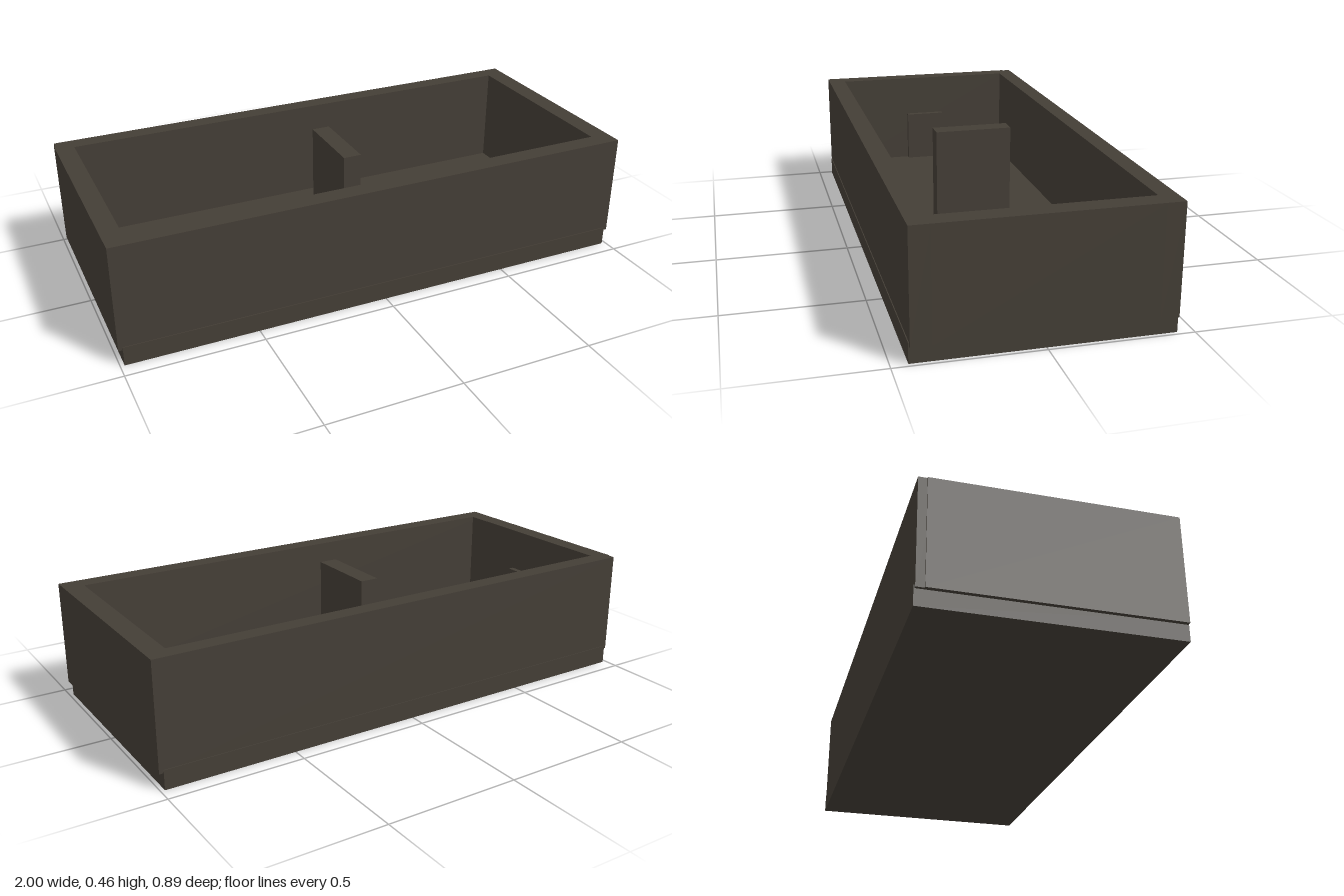
import * as THREE from 'three';

export function createModel() {
  const group = new THREE.Group();
  group.name = 'openTray';
  const darkBrown = new THREE.MeshStandardMaterial({ color: 0x443e36 });
  darkBrown.name = 'dark brown';

  // box given by its extents on each axis
  function block(name, [x0, x1], [y0, y1], [z0, z1]) {
    const geo = new THREE.BoxGeometry(x1 - x0, y1 - y0, z1 - z0);
    geo.translate((x0 + x1) / 2, (y0 + y1) / 2, (z0 + z1) / 2);
    const mesh = new THREE.Mesh(geo, darkBrown);
    mesh.name = name;
    group.add(mesh);
  }

  const wallY = [0.06, 0.455];
  const floorTop = 0.072;

  // base slab, slightly short at both ends
  block('basePlate', [-0.985, 0.985], [0, floorTop], [-0.443, 0.443]);

  // four walls around the open interior
  block('frontWall', [-0.995, 1], wallY, [0.37, 0.44]);
  block('backWall', [-0.995, 1], wallY, [-0.44, -0.375]);
  block('leftEndWall', [0.925, 1], wallY, [-0.375, 0.37]);
  block('rightEndWall', [-0.995, -0.93], wallY, [-0.375, 0.37]);
  block('rightEndFacing', [-1, -0.995], wallY, [-0.41, 0.44]);

  // upright divider in the middle and low tab on the end wall
  block('centreDivider', [-0.035, 0.035], [floorTop, 0.455], [-0.15, 0.145]);
  block('endTab', [-0.93, -0.907], [floorTop, 0.285], [-0.085, 0.08]);

  return group;
}
